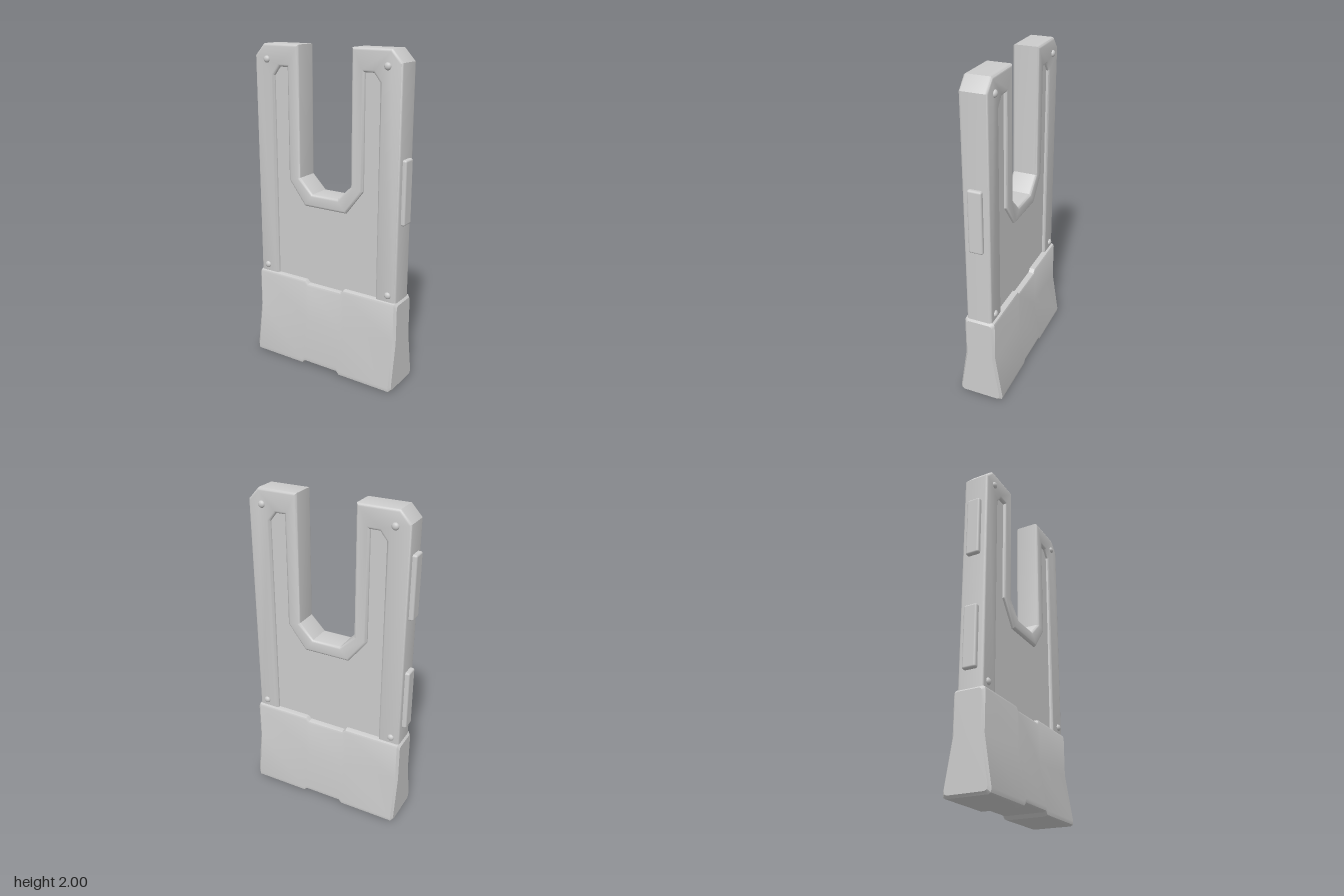
import * as THREE from 'three';
import { toCreasedNormals } from 'three/addons/utils/BufferGeometryUtils.js';
import { RoundedBoxGeometry } from 'three/addons/geometries/RoundedBoxGeometry.js';

const grey = new THREE.MeshStandardMaterial({ color: 0xcccccc });
const MID_Z = 0.004;

function add(group, name, geometry, x = 0, y = 0, z = 0) {
  const mesh = new THREE.Mesh(geometry, grey);
  mesh.name = name;
  mesh.position.set(x, y, z);
  group.add(mesh);
  return mesh;
}

// Mirrors a half outline (given from the left side to the centre) into a full path.
const mirrored = (half) => [...half, ...half.slice().reverse().map(([x, y]) => [-x, y])];

// Extrudes an outline, centred on z = 0, keeping the outline as its outermost edge.
function slab(points, thickness, bevel) {
  const shape = new THREE.Shape(points.map(([x, y]) => new THREE.Vector2(x, y)));
  const geometry = new THREE.ExtrudeGeometry(shape, {
    depth: thickness - 2 * bevel,
    bevelEnabled: bevel > 0,
    bevelSize: bevel,
    bevelThickness: bevel,
    bevelOffset: -bevel,
    bevelSegments: 3,
  });
  geometry.translate(0, 0, -thickness / 2 + bevel);
  return toCreasedNormals(geometry, 0.6);
}

// Flared foot: a side profile swept along x, with a shallow notch in its middle.
function footGeometry() {
  const front = [[0.122, 0], [0.136, 0.008], [0.139, 0.03], [0.095, 0.31], [0.095, 0.548], [0.09, 0.561], [0.078, 0.566]];
  const profile = [...front, ...front.slice().reverse().map(([z, y]) => [-z, y])];
  const columns = [
    { x: -0.505, inset: 0.014, notch: 0 }, { x: -0.49, inset: 0, notch: 0 },
    { x: -0.14, inset: 0, notch: 0 }, { x: -0.12, inset: 0, notch: 0.02 },
    { x: 0.12, inset: 0, notch: 0.02 }, { x: 0.14, inset: 0, notch: 0 },
    { x: 0.49, inset: 0, notch: 0 }, { x: 0.505, inset: 0.014, notch: 0 },
  ];
  const n = profile.length;
  const positions = [];
  const index = [];
  for (const { x, inset, notch } of columns) {
    for (const [z, y] of profile) {
      const shift = y < 0.1 ? notch + inset : y > 0.5 ? -notch - inset : 0;
      positions.push(x, y + shift, z - Math.sign(z) * inset);
    }
  }
  for (let i = 0; i < columns.length - 1; i++) {
    for (let j = 0; j < n; j++) {
      const k = (j + 1) % n;
      const a = i * n + j, b = i * n + k, c = a + n, d = b + n;
      index.push(a, c, b, b, c, d);
    }
  }
  // End caps
  const last = (columns.length - 1) * n;
  const centre = columns.length * n;
  positions.push(-0.505, 0.3, 0, 0.505, 0.3, 0);
  for (let j = 0; j < n; j++) {
    const k = (j + 1) % n;
    index.push(centre, j, k, centre + 1, last + k, last + j);
  }
  const geometry = new THREE.BufferGeometry();
  geometry.setAttribute('position', new THREE.Float32BufferAttribute(positions, 3));
  geometry.setIndex(index);
  return toCreasedNormals(geometry, 0.55);
}

export function createModel() {
  const model = new THREE.Group();
  model.name = 'forkedPlate';

  // Raised frame: outer edge and slot, then back along the edge of the recess
  const outer = mirrored([[-0.493, 0.5], [-0.493, 1.93], [-0.428, 2], [-0.18, 2], [-0.18, 1.22], [-0.09, 1.13]]);
  const recess = mirrored([[-0.358, 0.5], [-0.358, 1.82], [-0.318, 1.87], [-0.26, 1.87], [-0.26, 1.2], [-0.145, 1.05]]);
  add(model, 'frame', slab([...outer, ...recess.reverse()], 0.158, 0.015), 0, 0, MID_Z);

  // Recessed panel filling the frame, its edges buried in it
  const panel = mirrored([[-0.4, 0.5], [-0.4, 1.9], [-0.22, 1.9], [-0.22, 1.2], [-0.12, 1.09]]);
  add(model, 'recessedPanel', slab(panel, 0.118, 0), 0, 0, MID_Z);

  add(model, 'foot', footGeometry(), 0, 0, 0.002);

  // Rivets on both faces
  const rivet = new THREE.SphereGeometry(0.021, 20, 12);
  for (const side of [-1, 1]) {
    for (const face of [-1, 1]) {
      for (const [x, y] of [[0.405, 1.91], [0.44, 0.605]]) {
        add(model, 'rivet', rivet, side * x, y, MID_Z + face * 0.078).scale.z = 0.75;
      }
    }
  }

  // Grip pads on the outer edges
  const pad = new RoundedBoxGeometry(0.05, 0.38, 0.085, 3, 0.012);
  add(model, 'rightPad', pad, -0.494, 1.57, MID_Z);
  add(model, 'rightPad', pad, -0.494, 0.86, MID_Z);
  add(model, 'leftPad', pad, 0.49, 1.22, MID_Z);

  return model;
}
